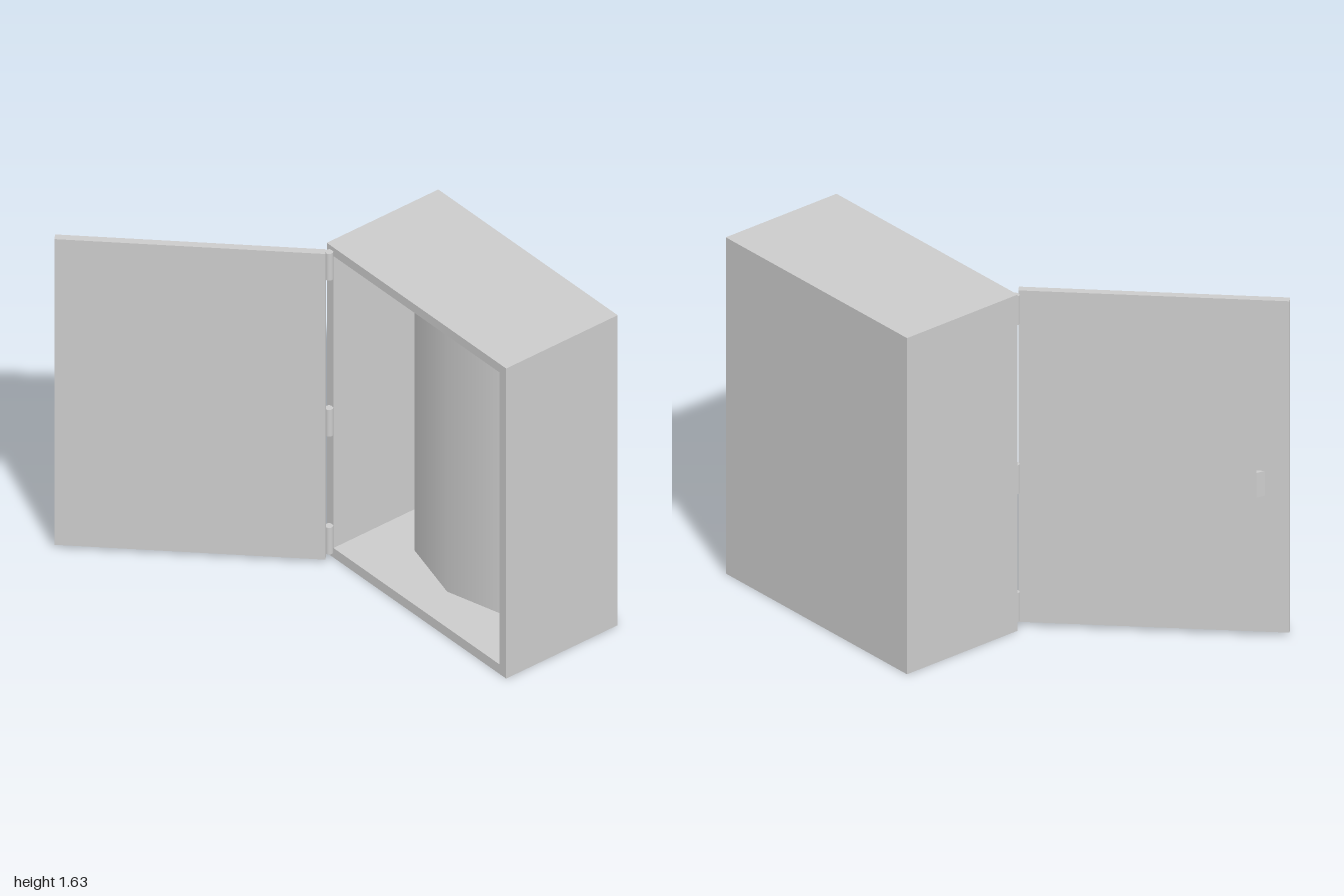
import * as THREE from 'three';

const material = new THREE.MeshStandardMaterial({ color: 0xcccccc });
const thin = new THREE.MeshStandardMaterial({ color: 0xcccccc, side: THREE.DoubleSide });

function add(parent, name, geometry, x = 0, y = 0, z = 0, mat = material) {
  const mesh = new THREE.Mesh(geometry, mat);
  mesh.name = name;
  mesh.position.set(x, y, z);
  parent.add(mesh);
  return mesh;
}

function rectangle(Type, x0, y0, x1, y1) {
  return new Type([[x0, y0], [x1, y0], [x1, y1], [x0, y1]].map(([x, y]) => new THREE.Vector2(x, y)));
}

export function createModel() {
  const model = new THREE.Group();
  model.name = 'openCabinet';

  // Cabinet: four walls as one hollow frame, closed by a back panel
  const left = -0.207, right = 1, height = 1.63, wall = 0.045;
  const back = -0.75, front = -0.13, backThickness = 0.045;
  const frame = rectangle(THREE.Shape, left, 0, right, height);
  frame.holes.push(rectangle(THREE.Path, left + wall, 0.05, right - wall, height - wall));
  add(model, 'cabinetWalls',
    new THREE.ExtrudeGeometry(frame, { depth: front - back - backThickness, bevelEnabled: false }),
    0, 0, back + backThickness);
  const middle = (left + right) / 2;
  add(model, 'backPanel', new THREE.BoxGeometry(right - left, height, backThickness),
    middle, height / 2, back + backThickness / 2);

  // Curved inner panel bulging forward between the side walls
  const arc = Math.PI / 3;
  const radius = ((right - left) / 2 - wall) / Math.sin(arc);
  const innerHeight = height - wall - 0.05;
  add(model, 'curvedPanel',
    new THREE.CylinderGeometry(radius, radius, innerHeight, 4, 1, true, -arc, 2 * arc),
    middle, 0.05 + innerHeight / 2, -0.3 - radius, thin);

  // Hinges
  for (const y of [0.1, 0.72, 1.54]) {
    add(model, 'hinge', new THREE.CylinderGeometry(0.018, 0.018, 0.14, 24), -0.172, y, -0.114);
  }

  // Door swung open, local +x runs to the free edge and +z is the outer face
  const door = new THREE.Group();
  door.name = 'door';
  door.position.set(-0.575, 0, 0.325);
  door.rotation.y = -Math.PI * 0.75;
  model.add(door);
  add(door, 'doorPanel', new THREE.BoxGeometry(1.167, 1.607, 0.035), 0, 0.8235, 0);

  // Wedge handle on the outer face
  const wedge = new THREE.Shape([[0.44, -0.015], [0.482, -0.015], [0.443, -0.04]]
    .map(([x, y]) => new THREE.Vector2(x, y)));
  const handle = new THREE.ExtrudeGeometry(wedge, { depth: 0.12, bevelEnabled: false });
  handle.rotateX(-Math.PI / 2);
  add(door, 'handle', handle, 0, 0.68, 0);

  return model;
}
